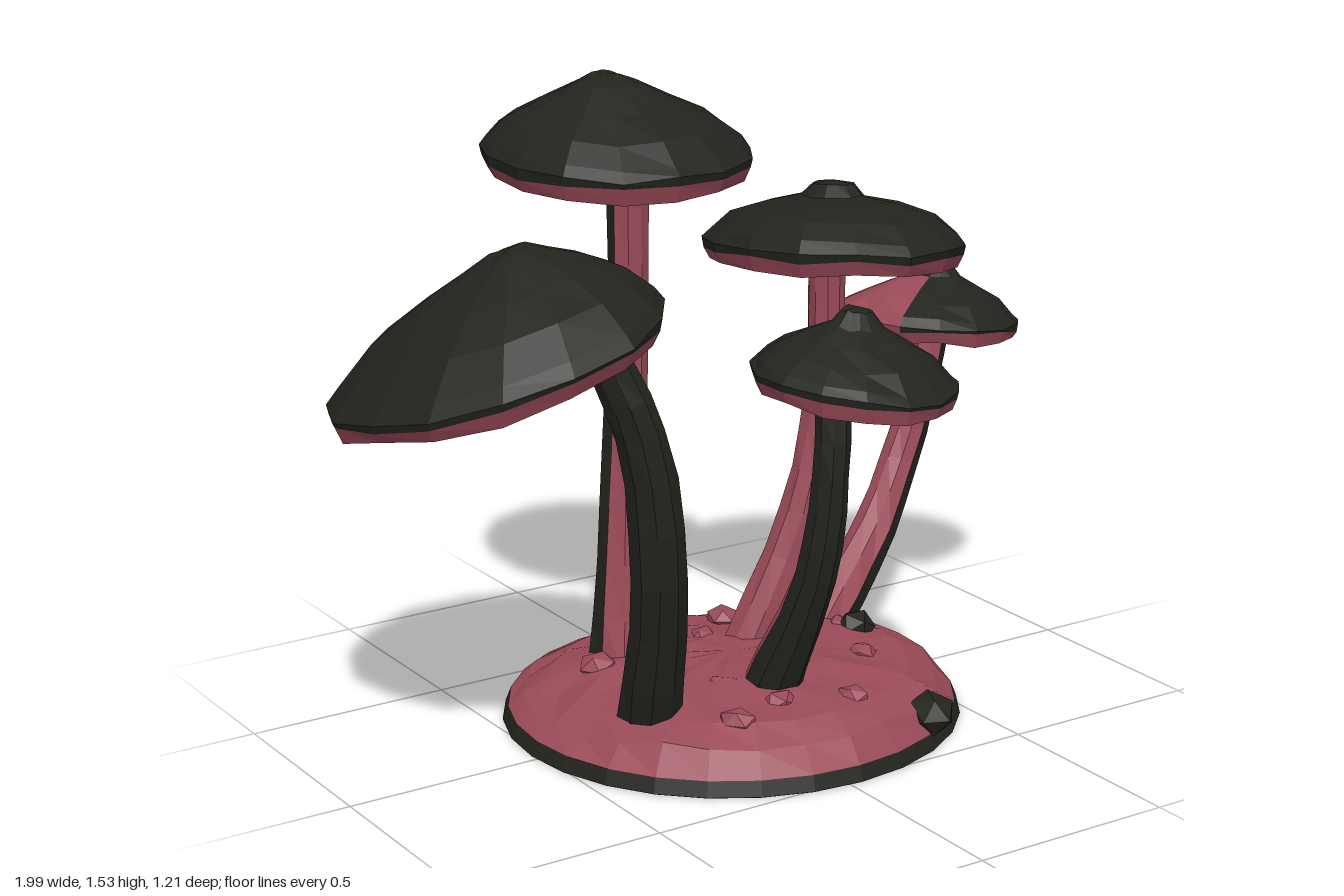
import * as THREE from 'three';

const dark = new THREE.MeshStandardMaterial({ color: 0x22241d, flatShading: true });
const red = new THREE.MeshStandardMaterial({ color: 0x9a4a58, flatShading: true });

let seed = 7;
const rand = () => {
  seed = (seed * 16807) % 2147483647;
  return seed / 2147483647;
};
const jitter = (a) => (rand() * 2 - 1) * a;

// Faceted surface of rings running from top to bottom, split into red and dark faces
function ringSurface(name, rings, isRed) {
  const lists = { red: [], dark: [] };
  const n = rings[0].length;
  for (let j = 0; j < rings.length - 1; j++) {
    for (let i = 0; i < n; i++) {
      const k = (i + 1) % n;
      const a = rings[j][i], c = rings[j][k], b = rings[j + 1][i], d = rings[j + 1][k];
      const list = isRed(j, ((i + 0.5) / n) * Math.PI * 2) ? lists.red : lists.dark;
      for (const p of [a, c, b, c, d, b]) list.push(p.x, p.y, p.z);
    }
  }
  const group = new THREE.Group();
  group.name = name;
  for (const [key, material] of [['red', red], ['dark', dark]]) {
    if (!lists[key].length) continue;
    const geo = new THREE.BufferGeometry();
    geo.setAttribute('position', new THREE.Float32BufferAttribute(lists[key], 3));
    geo.computeVertexNormals();
    const mesh = new THREE.Mesh(geo, material);
    mesh.name = name + (key === 'red' ? 'RedSide' : 'DarkSide');
    group.add(mesh);
  }
  return group;
}

// Cap outlines: [radius, height] as fractions, from apex to rim
const DOME = [[0, 1], [0.1, 0.99], [0.24, 0.87], [0.5, 0.64], [0.78, 0.38], [0.94, 0.13], [1, 0]];
const TENT = [[0, 1], [0.12, 0.97], [0.3, 0.83], [0.5, 0.68], [0.75, 0.43], [0.93, 0.15], [1, 0]];
const KNOB = [[0, 1], [0.14, 0.95], [0.26, 0.73], [0.5, 0.53], [0.75, 0.34], [0.93, 0.12], [1, 0]];
const FLAT = [[0, 1], [0.16, 0.94], [0.24, 0.74], [0.5, 0.63], [0.78, 0.44], [0.94, 0.17], [1, 0]];

// Cap tilted by slopes in x and z, with a dark rolled rim and a hollow gill side
function makeCap({ centre: [x, y, z], rx, rz, h, slope, peak, outline, lip, patch }) {
  const n = 15;
  const under = [[0.985, -lip * 0.4], [0.94, -lip], [0.72, -lip * 0.6], [0.4, -lip * 0.05], [0, lip * 0.2]];
  const profile = [...outline.map(([r, f]) => [r, f * h]), ...under];
  const wobble = Array.from({ length: n }, () => 1.005 + jitter(0.02));
  const rings = profile.map(([r, py], j) => Array.from({ length: n }, (_, i) => {
    const t = (i / n) * Math.PI * 2;
    const dx = Math.cos(t) * r * rx * wobble[i], dz = Math.sin(t) * r * rz * wobble[i];
    const lean = j < outline.length ? 1 - r : 0;
    const rough = r > 0 ? jitter(j > 4 ? 0.007 : 0.004) : 0;
    return new THREE.Vector3(
      x + dx + peak[0] * lean,
      y + py + slope[0] * dx + slope[1] * dz + rough,
      z + dz + peak[1] * lean);
  }));
  return ringSurface('cap', rings, (j, t) => j >= outline.length
    || (patch && j > 1 && Math.abs(t - patch) < 0.75));
}

// Bent stem swept down a curve, red on the side facing the given angle
function makeStem({ path, radii, redAngle }) {
  const curve = new THREE.CatmullRomCurve3(path.map((p) => new THREE.Vector3(...p)));
  const n = 9, steps = 9;
  const rings = [];
  for (let s = 0; s <= steps; s++) {
    const u = s / steps;
    const p = curve.getPoint(u), up = curve.getTangent(u).negate();
    const side = new THREE.Vector3(1, 0, 0).addScaledVector(up, -up.x).normalize();
    const front = new THREE.Vector3().crossVectors(side, up);
    const f = u * (radii.length - 1), k = Math.min(Math.floor(f), radii.length - 2);
    const radius = THREE.MathUtils.lerp(radii[k], radii[k + 1], f - k);
    rings.push(Array.from({ length: n }, (_, i) => {
      const t = (i / n) * Math.PI * 2, r = radius * (1 + jitter(0.06));
      return p.clone().addScaledVector(side, Math.cos(t) * r).addScaledVector(front, Math.sin(t) * r);
    }));
  }
  return ringSurface('stem', rings, (j, t) => Math.cos(t - redAngle) > 0.05);
}

// Uneven soil mound, steeper at the front than at the back, with a dark edge
function makeMound() {
  const n = 28;
  const profile = [[0, 0.16], [0.2, 0.16], [0.4, 0.155], [0.6, 0.143], [0.78, 0.12],
    [0.9, 0.088], [0.975, 0.05], [1, 0.015], [0.99, 0.012], [0, 0.012]];
  const rings = profile.map(([r, y], j) => Array.from({ length: n }, (_, i) => {
    const t = (i / n) * Math.PI * 2;
    const top = j > 0 && j < 6;
    const rise = top ? jitter(0.012) * Math.min(1, r * 2) + 0.028 * r * Math.sin(t) : 0;
    const rr = r * (1 + (top ? jitter(0.02) : 0));
    return new THREE.Vector3(0.03 + Math.cos(t) * rr * 0.555, y + rise, -0.014 + Math.sin(t) * rr * 0.54);
  }));
  return ringSurface('mound', rings, (j) => j < 6);
}

function makeStone(x, y, z, size, material) {
  const geo = new THREE.IcosahedronGeometry(size, 0);
  geo.scale(1 + jitter(0.25), 0.75, 1 + jitter(0.25));
  geo.rotateY(rand() * 6);
  const stone = new THREE.Mesh(geo, material);
  stone.name = 'stone';
  stone.position.set(x, y, z);
  return stone;
}

const MUSHROOMS = [
  { name: 'tallMushroom',
    cap: { centre: [-0.13, 1.36, -0.26], rx: 0.315, rz: 0.335, h: 0.18, slope: [0, -0.03], peak: [-0.03, 0], outline: DOME, lip: 0.055 },
    stem: { path: [[-0.115, 1.37, -0.235], [-0.12, 0.95, -0.23], [-0.14, 0.5, -0.22], [-0.16, 0.1, -0.2]],
      radii: [0.05, 0.047, 0.06, 0.085], redAngle: Math.PI * 0.45 } },
  { name: 'leftLeaningMushroom',
    cap: { centre: [-0.625, 1.005, 0.045], rx: 0.365, rz: 0.4, h: 0.245, slope: [0.27, 0.16], peak: [0.025, 0.02], outline: TENT, lip: 0.05 },
    stem: { path: [[-0.485, 1.06, 0.24], [-0.4, 0.85, 0.275], [-0.345, 0.5, 0.26], [-0.295, 0.1, 0.13]],
      radii: [0.05, 0.057, 0.064, 0.075], redAngle: -Math.PI * 0.2 } },
  { name: 'smallFrontMushroom',
    cap: { centre: [0.11, 0.925, 0.37], rx: 0.238, rz: 0.235, h: 0.155, slope: [-0.11, -0.06], peak: [0.01, -0.01], outline: KNOB, lip: 0.045 },
    stem: { path: [[0.06, 0.925, 0.35], [0.045, 0.7, 0.365], [0.03, 0.45, 0.33], [0, 0.1, 0.17]],
      radii: [0.042, 0.043, 0.048, 0.072], redAngle: -Math.PI * 0.45 } },
  { name: 'wideMushroom',
    cap: { centre: [0.36, 1.115, -0.07], rx: 0.3, rz: 0.345, h: 0.14, slope: [-0.085, 0.1], peak: [0.015, -0.03], outline: FLAT, lip: 0.055 },
    stem: { path: [[0.345, 1.115, -0.08], [0.34, 0.75, -0.08], [0.28, 0.45, -0.085], [0.12, 0.1, -0.1]],
      radii: [0.045, 0.046, 0.053, 0.062], redAngle: Math.PI * 0.75 } },
  { name: 'rightLeaningMushroom',
    cap: { centre: [0.765, 0.835, -0.23], rx: 0.232, rz: 0.235, h: 0.145, slope: [-0.12, 0.06], peak: [0.03, 0.01], outline: KNOB, lip: 0.04, patch: Math.PI * 1.05 },
    stem: { path: [[0.785, 0.835, -0.23], [0.71, 0.55, -0.225], [0.575, 0.32, -0.185], [0.38, 0.11, -0.135]],
      radii: [0.043, 0.047, 0.054, 0.068], redAngle: Math.PI } },
];

export function createModel() {
  const model = new THREE.Group();
  model.name = 'mushroomCluster';
  model.add(makeMound());

  for (const m of MUSHROOMS) {
    const group = new THREE.Group();
    group.name = m.name;
    group.add(makeStem(m.stem), makeCap(m.cap));
    model.add(group);
  }

  // Stones at the front edge and by the leaning stem, then scattered soil lumps
  model.add(makeStone(0.3, 0.085, 0.42, 0.07, dark));
  model.add(makeStone(0.4, 0.14, -0.02, 0.06, dark));
  for (let i = 0; i < 16; i++) {
    const t = i * 2.4, r = 0.1 + 0.28 * Math.sqrt(i / 16);
    model.add(makeStone(0.03 + Math.cos(t) * r, 0.14, 0.03 + Math.sin(t) * r, 0.03 + rand() * 0.02, red));
  }
  return model;
}
